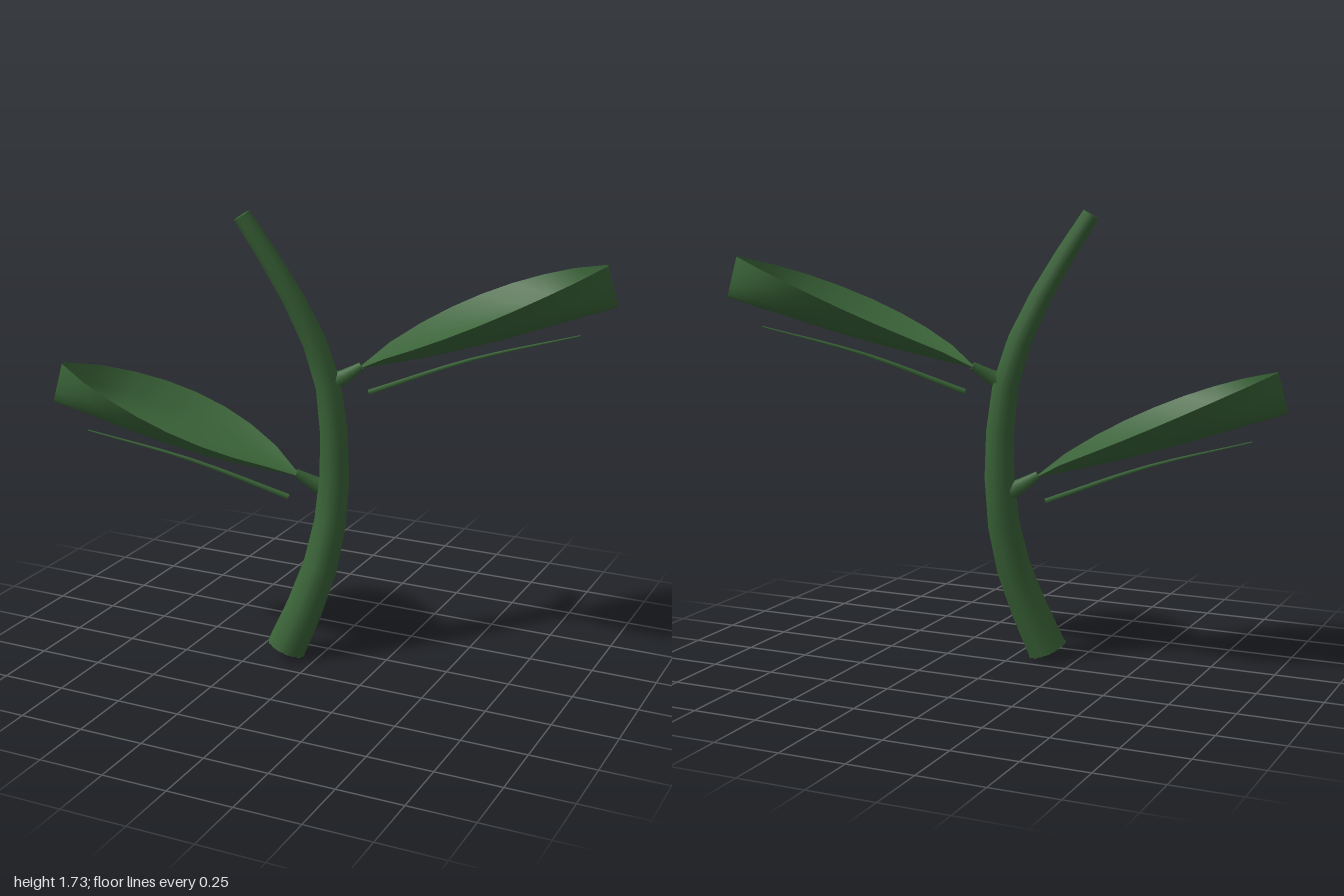
import * as THREE from 'three';

const green = new THREE.MeshStandardMaterial({ color: 0x3a6438, side: THREE.DoubleSide });
green.name = 'leaf green';

const V = (x, y, z) => new THREE.Vector3(x, y, z);

// Tube along a smooth path, tapering from r0 to r1, closed at both ends
function taperedTube(name, points, r0, r1, segments, sides) {
  const group = new THREE.Group();
  group.name = name;
  const curve = new THREE.CatmullRomCurve3(points);
  const geo = new THREE.TubeGeometry(curve, segments, 1, sides);
  const pos = geo.attributes.position;
  const v = new THREE.Vector3();
  for (let i = 0; i < pos.count; i++) {
    const t = Math.floor(i / (sides + 1)) / segments;
    const centre = curve.getPointAt(t);
    v.fromBufferAttribute(pos, i).sub(centre).multiplyScalar(r0 + (r1 - r0) * t).add(centre);
    pos.setXYZ(i, v.x, v.y, v.z);
  }
  const body = new THREE.Mesh(geo, green);
  body.name = name + 'Body';
  group.add(body);
  for (const [t, r, dir] of [[0, r0, -1], [1, r1, 1]]) {
    const cap = new THREE.Mesh(new THREE.CircleGeometry(r, sides), green);
    cap.name = name + 'Cap';
    cap.position.copy(curve.getPointAt(t));
    cap.quaternion.setFromUnitVectors(V(0, 0, 1), curve.getTangentAt(t).multiplyScalar(dir));
    group.add(cap);
  }
  return group;
}

// Cupped blade: rows run base to tip, columns run across, rims rise toward the tip
function leafBlade() {
  const base = V(0.1, 1.14, -0.05), tip = V(1.0, 1.4, -0.35);
  const axis = tip.clone().sub(base).normalize();
  const side = V(0.316, 0, 0.949);
  const up = side.clone().cross(axis).normalize();
  const stations = [[0, 0.012], [0.125, 0.13], [0.25, 0.215], [0.375, 0.262], [0.5, 0.275],
    [0.625, 0.256], [0.75, 0.208], [0.875, 0.132], [1, 0.012]];
  const cols = 8, verts = [], index = [];
  stations.forEach(([t, w], i) => {
    const lift = 0.16 * Math.pow(Math.sin(t * Math.PI / 2), 0.75);
    const sag = -0.012 * Math.sin(Math.PI * t);
    for (let j = 0; j <= cols; j++) {
      const u = (j / cols) * 2 - 1;
      const p = base.clone().lerp(tip, t)
        .addScaledVector(side, w * u)
        .addScaledVector(up, lift * u * u + sag);
      verts.push(p.x, p.y, p.z);
      if (i > 0 && j > 0) {
        const d = i * (cols + 1) + j, c = d - 1, b = d - cols - 1, a = b - 1;
        index.push(a, b, d, a, d, c);
      }
    }
  });
  const geo = new THREE.BufferGeometry();
  geo.setAttribute('position', new THREE.Float32BufferAttribute(verts, 3));
  geo.setIndex(index);
  geo.computeVertexNormals();
  const mesh = new THREE.Mesh(geo, green);
  mesh.name = 'leafBlade';
  return mesh;
}

// Leaf with its stalk and the thin rib beneath it
function leaf(name) {
  const group = new THREE.Group();
  group.name = name;
  group.add(
    leafBlade(),
    taperedTube('stalk', [V(0, 1.08, 0), V(0.05, 1.107, -0.02), V(0.112, 1.15, -0.053)], 0.038, 0.016, 4, 8),
    taperedTube('rib', [V(0.14, 1.05, -0.06), V(0.5, 1.188, -0.185), V(0.875, 1.29, -0.31)], 0.011, 0.003, 8, 6),
  );
  return group;
}

export function createModel() {
  const model = new THREE.Group();
  model.name = 'twoLeafSprig';

  // Bowed main stem
  model.add(taperedTube('stem', [
    V(-0.125, 0.03, 0.12), V(-0.06, 0.2, 0.085), V(0, 0.42, 0.037), V(0.022, 0.65, 0.002),
    V(0.022, 0.88, -0.004), V(-0.005, 1.1, 0.002), V(-0.07, 1.3, 0.03), V(-0.18, 1.52, 0.075),
    V(-0.295, 1.715, 0.117),
  ], 0.079, 0.034, 10, 8));

  // Upper leaf, and the same leaf turned half round and set lower
  const rightLeaf = leaf('leftLeaf');
  const lowerLeaf = leaf('rightLeaf');
  lowerLeaf.rotation.y = Math.PI;
  lowerLeaf.position.y = -0.42;
  model.add(rightLeaf, lowerLeaf);
  return model;
}
